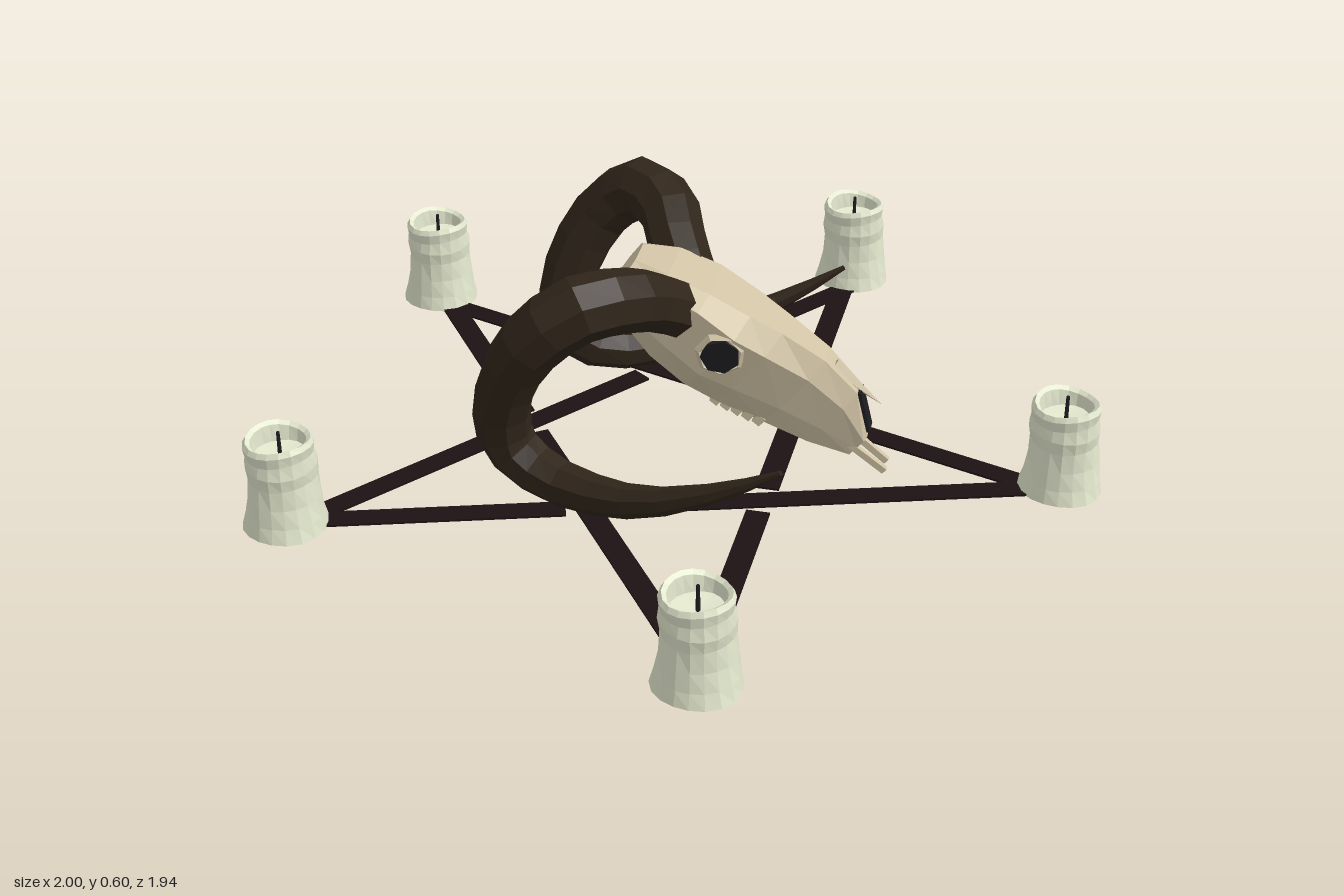
import * as THREE from 'three';

const mat = (color) => new THREE.MeshStandardMaterial({ color, flatShading: true, side: THREE.DoubleSide });
const BONE = mat(0xcfc2a4), HORN = mat(0x30251a), WAX = mat(0xe2e7cd), BAR = mat(0x1c1113), DARK = mat(0x1d1d20);

function add(parent, name, geometry, material, x = 0, y = 0, z = 0) {
  const mesh = new THREE.Mesh(geometry, material);
  mesh.name = name;
  mesh.position.set(x, y, z);
  parent.add(mesh);
  return mesh;
}

// Closed skin over a list of rings, turned so that its faces point outward
function loft(rings) {
  const n = rings[0].length, tris = [];
  for (let i = 0; i < rings.length - 1; i++) {
    for (let j = 0; j < n; j++) {
      const k = (j + 1) % n;
      const a = rings[i][j], b = rings[i][k], c = rings[i + 1][k], d = rings[i + 1][j];
      tris.push([a, b, c], [a, c, d]);
    }
  }
  const first = rings[0], last = rings[rings.length - 1];
  for (let j = 1; j < n - 1; j++) {
    tris.push([first[0], first[j + 1], first[j]], [last[0], last[j], last[j + 1]]);
  }
  const cross = new THREE.Vector3();
  const volume = tris.reduce((sum, [a, b, c]) => sum + a.dot(cross.crossVectors(b, c)), 0);
  const points = tris.flatMap(([a, b, c]) => (volume < 0 ? [a, c, b] : [a, b, c]));
  const geometry = new THREE.BufferGeometry().setFromPoints(points);
  geometry.computeVertexNormals();
  return geometry;
}

// Interlaced star: each flat bar breaks where it passes under another
function buildStar() {
  const star = new THREE.Group();
  star.name = 'star';
  star.position.set(0.012, 0.012, 0.12);
  const R = 0.9, width = 0.056, gap = 0.05;
  const half = R * Math.sin(0.4 * Math.PI);           // half the bar length
  const offset = R * Math.cos(0.4 * Math.PI);         // bar distance from the centre
  const under = offset * Math.tan(Math.PI / 5);       // crossing position along the bar
  for (let i = 0; i < 5; i++) {
    const arm = new THREE.Group();
    arm.name = 'starBar';
    arm.rotation.y = (i * 2 * Math.PI) / 5;
    star.add(arm);
    for (const [from, to] of [[-half - 0.02, under - gap], [under + gap, half + 0.02]]) {
      add(arm, 'barPiece', new THREE.BoxGeometry(to - from, 0.005, width), BAR, (from + to) / 2, 0, -offset);
    }
  }
  return star;
}

// Melted candle with a hollow top and a wick
function buildCandle() {
  const candle = new THREE.Group();
  candle.name = 'candle';
  const profile = [[0, 0.01], [0.098, 0.01], [0.09, 0.045], [0.083, 0.09], [0.079, 0.14], [0.082, 0.17],
    [0.077, 0.2], [0.08, 0.225], [0.073, 0.237], [0.063, 0.23], [0.057, 0.195], [0, 0.188]];
  const wax = new THREE.LatheGeometry(profile.map(([r, y]) => new THREE.Vector2(r, y)), 18);
  const p = wax.attributes.position;
  for (let i = 0; i < p.count; i++) {
    const x = p.getX(i), y = p.getY(i), z = p.getZ(i), a = Math.atan2(z, x);
    const swell = 1 + 0.03 * Math.sin(3 * a + y * 30);
    p.setXYZ(i, x * swell, y > 0.2 ? y + 0.006 * Math.sin(2 * a + 1) : y, z * swell);
  }
  wax.computeVertexNormals();
  add(candle, 'wax', wax, WAX);
  add(candle, 'wick', new THREE.CylinderGeometry(0.004, 0.005, 0.065, 6), DARK, 0, 0.218, 0);
  return candle;
}

// Curled horn: path points are x, y, z, radius
function hornGeometry(side) {
  const path = [[0.024, 0.4, 0.052, 0.068], [-0.029, 0.465, 0.139, 0.07], [-0.075, 0.515, 0.239, 0.074],
    [-0.156, 0.525, 0.316, 0.077], [-0.249, 0.455, 0.336, 0.075], [-0.316, 0.35, 0.317, 0.071],
    [-0.35, 0.23, 0.294, 0.067], [-0.336, 0.135, 0.283, 0.064], [-0.257, 0.078, 0.301, 0.058],
    [-0.118, 0.072, 0.357, 0.048], [0.021, 0.108, 0.413, 0.036], [0.196, 0.19, 0.46, 0.021],
    [0.325, 0.27, 0.485, 0.006]];
  const curve = new THREE.CatmullRomCurve3(path.map(([x, y, z]) => new THREE.Vector3(x, y, z * side)));
  const steps = 20, sides = 8, rings = [];
  const up = new THREE.Vector3(0, 0, 1);
  for (let i = 0; i <= steps; i++) {
    const t = i / steps, f = t * (path.length - 1), k = Math.min(Math.floor(f), path.length - 2);
    const r = THREE.MathUtils.lerp(path[k][3], path[k + 1][3], f - k);
    const centre = curve.getPoint(t), tangent = curve.getTangent(t);
    // Carry the previous sideways direction along the path
    up.addScaledVector(tangent, -up.dot(tangent)).normalize();
    const across = new THREE.Vector3().crossVectors(tangent, up);
    const ring = [];
    for (let j = 0; j < sides; j++) {
      const a = ((j + 0.5) / sides) * Math.PI * 2;
      ring.push(centre.clone().addScaledVector(up, Math.cos(a) * r).addScaledVector(across, Math.sin(a) * r));
    }
    rings.push(ring);
  }
  return loft(rings);
}

// Cranium, muzzle and their details, along a local x axis from nape to nose
function buildSkull() {
  const skull = new THREE.Group();
  skull.name = 'skull';
  skull.position.set(-0.02, 0.42, 0);
  skull.rotation.z = -0.665;
  // x, heights of crown, brow, cheek and palate, half widths of crown, brow and palate
  const stations = [
    [-0.115, 0.03, 0.015, -0.03, -0.05, 0.04, 0.07, 0.04],
    [-0.04, 0.07, 0.04, -0.06, -0.11, 0.07, 0.11, 0.06],
    [0.06, 0.1, 0.07, -0.06, -0.135, 0.075, 0.125, 0.06],
    [0.165, 0.115, 0.075, -0.06, -0.14, 0.065, 0.128, 0.055],
    [0.25, 0.125, 0.075, -0.05, -0.125, 0.05, 0.098, 0.05],
    [0.37, 0.132, 0.08, -0.03, -0.095, 0.035, 0.065, 0.04],
    [0.48, 0.115, 0.07, -0.01, -0.065, 0.028, 0.05, 0.035],
    [0.575, 0.04, 0.03, 0, -0.025, 0.024, 0.036, 0.03]];
  add(skull, 'cranium', loft(stations.map(([x, top, brow, cheek, low, tw, w, lw]) => {
    const half = [[top, tw], [brow, w], [cheek, w * 0.9], [low, lw]];
    const mirrored = half.map(([y, z]) => [y, -z]).reverse();
    return [...half, ...mirrored].map(([y, z]) => new THREE.Vector3(x, y, z));
  })), BONE);

  // Nose opening on the sloping end, under the nasal bone
  add(skull, 'noseOpening', new THREE.BoxGeometry(0.105, 0.02, 0.045), DARK, 0.525, 0.077, 0).rotation.z = -0.67;
  const nasal = new THREE.ConeGeometry(0.022, 0.15, 4);
  nasal.rotateZ(-Math.PI / 2);
  add(skull, 'nasalBone', nasal, BONE, 0.475, 0.118, 0);

  for (const side of [1, -1]) {
    // Eye socket: a bony rim around a dark hollow
    const socket = new THREE.Group();
    socket.name = 'eyeSocket';
    socket.position.set(0.165, 0.02, side * 0.117);
    socket.rotation.y = side * 0.2;
    skull.add(socket);
    const hollow = new THREE.CylinderGeometry(0.046, 0.046, 0.03, 7);
    hollow.rotateX(Math.PI / 2);
    add(socket, 'eyeHollow', hollow, DARK);
    add(socket, 'eyeRim', new THREE.TorusGeometry(0.05, 0.011, 4, 7), BONE);
    // Forked front of the jaw
    const prong = add(skull, 'jawProng', new THREE.BoxGeometry(0.13, 0.016, 0.014), BONE, 0.6, -0.003, side * 0.025);
    prong.rotation.y = side * 0.05;
    // Cheek teeth
    for (let i = 0; i < 5; i++) {
      add(skull, 'tooth', new THREE.BoxGeometry(0.022, 0.025, 0.014), BONE,
        0.25 + i * 0.027, -0.125 + i * 0.007, side * 0.04);
    }
  }
  return skull;
}

export function createModel() {
  const model = new THREE.Group();
  model.name = 'skullAndCandleStar';
  model.add(buildStar());

  for (const [x, z] of [[-0.903, -0.195], [0.897, -0.195], [-0.005, -0.87], [-0.54, 0.865], [0.555, 0.87]]) {
    const candle = buildCandle();
    candle.position.set(x, 0, z);
    model.add(candle);
  }

  // Horned skull, turned to its right
  const head = new THREE.Group();
  head.name = 'hornedSkull';
  head.position.set(0.039, 0, 0.109);
  head.rotation.y = 0.347;
  head.add(buildSkull());
  add(head, 'leftHorn', hornGeometry(1), HORN);
  add(head, 'rightHorn', hornGeometry(-1), HORN);
  model.add(head);
  return model;
}
